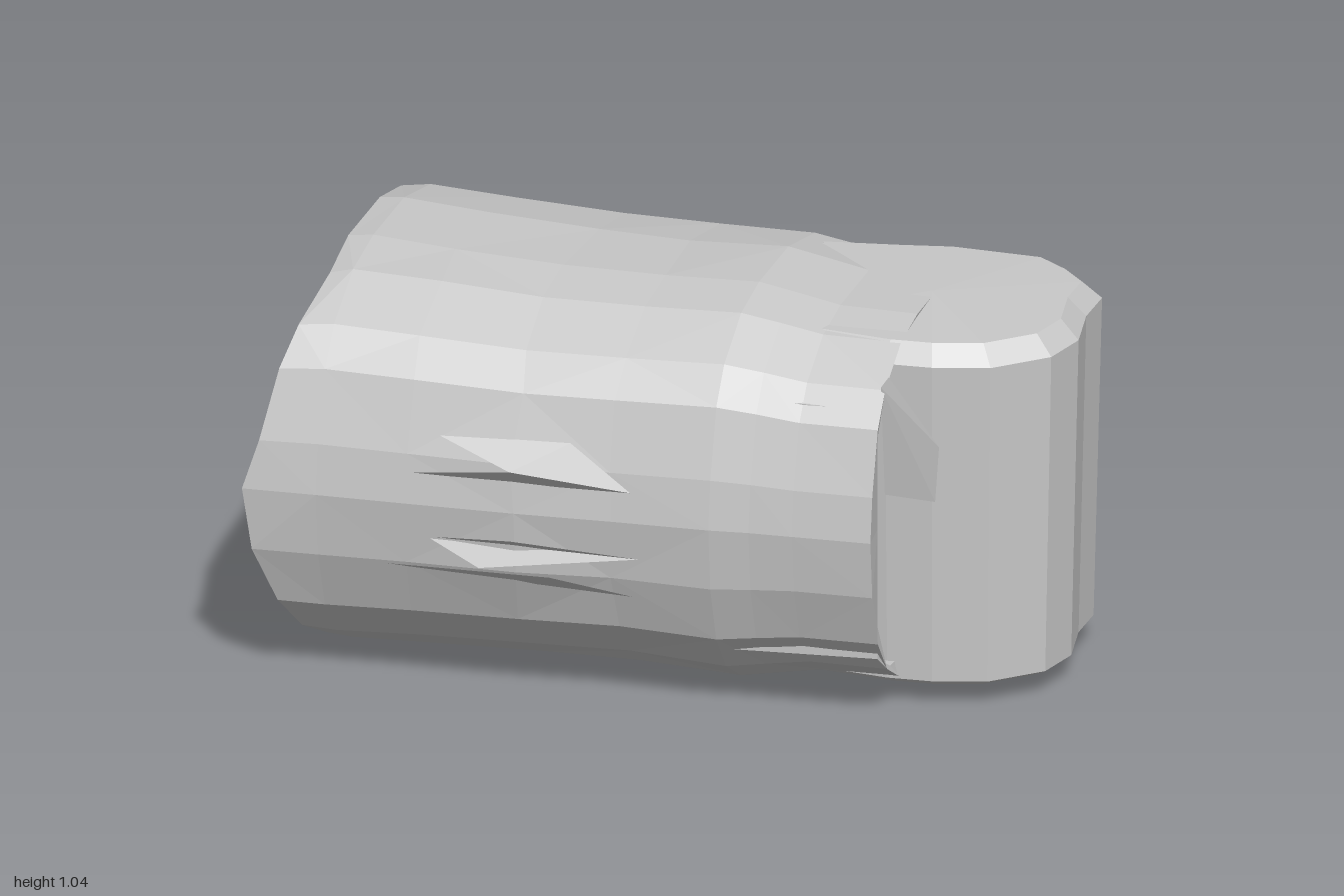
import * as THREE from 'three';

// Body cross-section as [z, y], from the top round the back, under and up the front
const SECTION = [
  [0.12, 1.05], [-0.15, 1.04], [-0.38, 0.98], [-0.52, 0.85], [-0.6, 0.67], [-0.63, 0.52], [-0.59, 0.36],
  [-0.51, 0.2], [-0.39, 0.09], [-0.15, 0.02], [0.12, 0.01], [0.3, 0.03], [0.45, 0.11], [0.55, 0.22],
  [0.61, 0.38], [0.63, 0.55], [0.61, 0.68], [0.55, 0.86], [0.47, 0.95], [0.3, 1.03],
];
const MID = 0.53;

let seed = 7;
function jitter(amount) {
  seed = (seed * 16807) % 2147483647;
  return (seed / 2147483647 - 0.5) * 2 * amount;
}

function facets(pos) {
  const g = new THREE.BufferGeometry();
  g.setAttribute('position', new THREE.Float32BufferAttribute(pos, 3));
  g.computeVertexNormals();
  return g;
}

// Faceted skin through a list of closed rings
function loft(rings, closed = false) {
  const pos = [];
  const n = rings[0].length;
  const last = closed ? rings.length : rings.length - 1;
  for (let r = 0; r < last; r++) {
    const p = rings[r], q = rings[(r + 1) % rings.length];
    for (let i = 0; i < n; i++) {
      const j = (i + 1) % n;
      if ((r + i) % 2) pos.push(...p[i], ...q[i], ...p[j], ...q[i], ...q[j], ...p[j]);
      else pos.push(...p[i], ...q[i], ...q[j], ...p[i], ...q[j], ...p[j]);
    }
  }
  return facets(pos);
}

// Outer ring: the front is scaled to its reach, the back is cut off flat.
// bulge pushes the middle towards -x, rough makes the ring uneven
function outer(x, height, front, back, bulge = 0, rough = 0) {
  return SECTION.map(([z, y]) => {
    const k = 1 + jitter(rough);
    const mid = Math.max(0, 1 - Math.abs(y - MID) / 0.52);
    return [
      x - bulge * mid * (z > 0 ? 1.5 : 1) + jitter(rough),
      MID + (y - MID) * height * k,
      z > 0 ? z * front / 0.63 * k : Math.max(z, -back) * k,
    ];
  });
}

// Inner ring: boxy, cut off flat at front and back
function inner(x, height, front, back, rough = 0) {
  return SECTION.map(([z, y]) => [
    x + jitter(rough),
    MID + (y - MID) * height + jitter(rough),
    THREE.MathUtils.clamp(z, -back, front),
  ]);
}

export function createModel() {
  const grey = new THREE.MeshStandardMaterial({ color: 0xc8c8c8, side: THREE.DoubleSide });
  grey.name = 'grey';
  const group = new THREE.Group();
  const add = (name, geometry) => {
    const mesh = new THREE.Mesh(geometry, grey);
    mesh.name = name;
    group.add(mesh);
  };

  // Hollow body: inner wall, narrowed ragged mouth, outer wall, rim round the front gap
  add('hollowBody', loft([
    inner(0.6, 0.8, 0.41, 0.34),
    inner(0.2, 0.82, 0.44, 0.48),
    inner(-0.78, 0.82, 0.5, 0.52),
    inner(-0.93, 0.39, 0.47, 0.54, 0.025),
    outer(-0.86, 0.98, 0.63, 0.58, 0.09, 0.012),
    outer(-0.8, 1, 0.615, 0.6),
    outer(-0.58, 0.98, 0.6, 0.63, 0, 0.01),
    outer(-0.3, 0.96, 0.585, 0.61, 0, 0.01),
    outer(-0.05, 0.96, 0.56, 0.605, 0, 0.01),
    outer(0.2, 0.985, 0.545, 0.59),
    outer(0.3, 0.95, 0.53, 0.48),
    outer(0.41, 0.91, 0.52, 0.385),
    outer(0.61, 0.91, 0.505, 0.38),
  ], true));

  // Rounded end block, seen from above as [x, z]
  const outline = [
    [0.2, -0.33], [0.42, -0.37], [0.56, -0.4], [0.82, -0.4], [0.91, -0.34], [0.98, -0.27], [0.975, -0.15],
    [1, 0], [0.965, 0.12], [0.84, 0.23], [0.7, 0.27], [0.58, 0.28], [0.2, 0.25],
  ];
  const slice = (y, s) => outline.map(([x, z]) => [0.6 + (x - 0.6) * s, y, -0.06 + (z + 0.06) * s]);
  add('endBlock', loft([
    slice(0.06, 0), slice(0.06, 0.86), slice(0.08, 0.95), slice(0.94, 1), slice(0.99, 0.88), slice(1, 0),
  ]));

  // Shallow folds lying on the front
  const folds = [
    [[-0.63, 0.62, 0.585], [0, 0.63, 0.555], [-0.3, 0.67, 0.605]],
    [[-0.3, 0.67, 0.605], [0, 0.63, 0.555], [-0.16, 0.74, 0.54]],
    [[-0.3, 0.67, 0.605], [-0.16, 0.74, 0.54], [-0.5, 0.73, 0.56]],
    [[-0.52, 0.46, 0.585], [-0.38, 0.4, 0.605], [0.02, 0.45, 0.55]],
    [[-0.52, 0.46, 0.585], [0.02, 0.45, 0.55], [-0.3, 0.48, 0.6]],
    [[-0.7, 0.37, 0.58], [-0.2, 0.39, 0.59], [0, 0.34, 0.535]],
  ];
  add('frontFolds', facets(folds.flat(2)));

  // Loose flap inside the front gap
  const flap = [[0.6, 0.92, 0.38], [0.61, 0.63, 0.38], [0.75, 0.64, 0.41], [0.76, 0.79, 0.41], [0.62, 0.95, 0.38]];
  const flapFaces = [];
  for (let i = 1; i < 4; i++) flapFaces.push(...flap[0], ...flap[i], ...flap[i + 1]);
  add('looseFlap', facets(flapFaces));

  return group;
}
